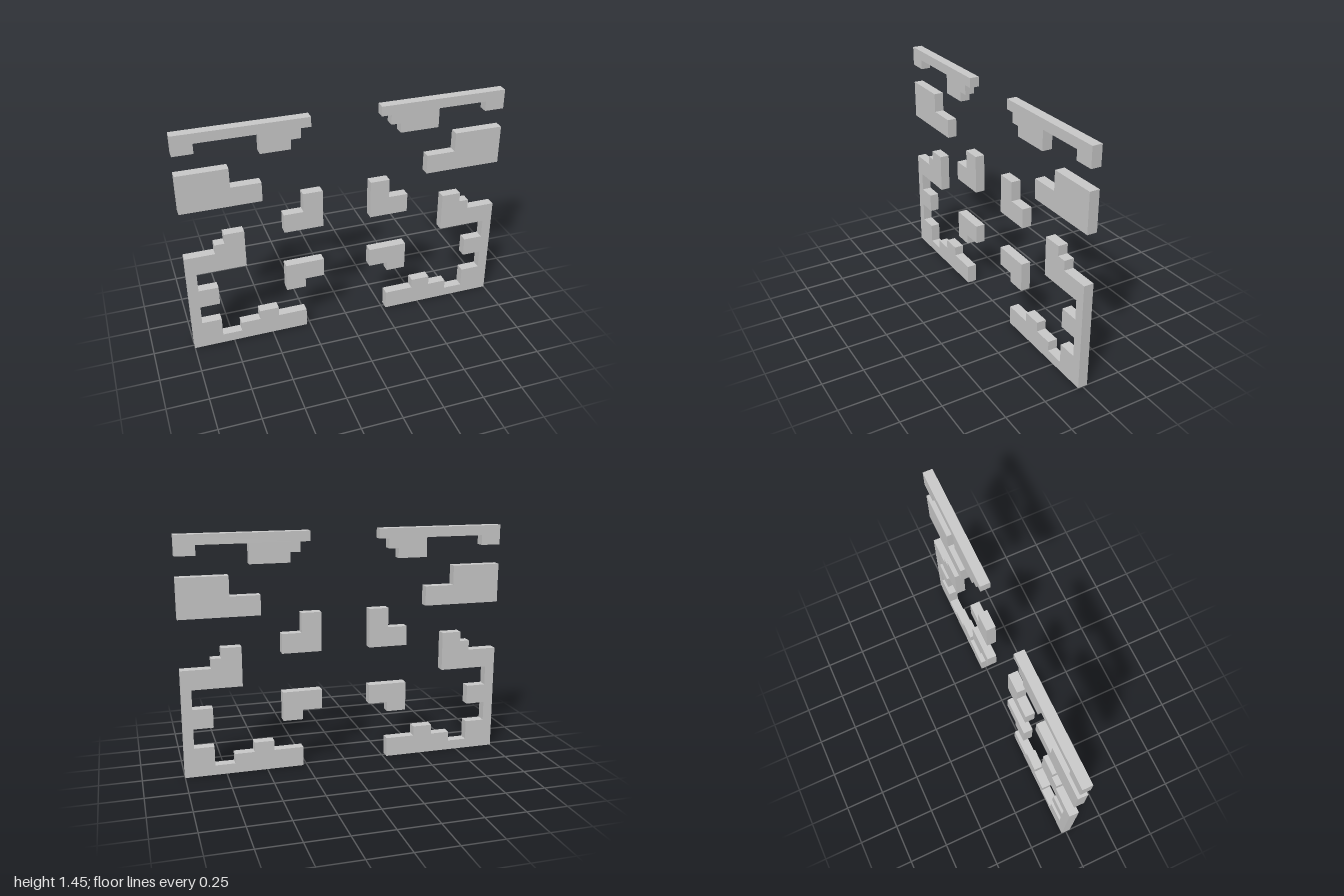
import * as THREE from 'three';

// The outlines lie on a square grid, 33 cells across.
const CELL = 2 / 33;
const material = new THREE.MeshStandardMaterial({ color: 0xcccccc, flatShading: true });

// Flat plate, one cell thick; side -1 mirrors the outline to -x.
function plate(name, outline, side) {
  const shape = new THREE.Shape(outline.map(([x, y]) => new THREE.Vector2(side * x * CELL, y * CELL)));
  const geometry = new THREE.ExtrudeGeometry(shape, { depth: CELL, bevelEnabled: false });
  geometry.translate(0, 0, -CELL / 2);
  const mesh = new THREE.Mesh(geometry, material);
  mesh.name = name;
  return mesh;
}

// Top bar with an outer tab and a stepped bump; the bump's outer edge differs per side.
const topBar = (bumpEdge) => [
  [3.5, 24], [3.5, 23], [4.5, 23], [4.5, 22], [5.5, 22], [5.5, 21],
  [bumpEdge, 21], [bumpEdge, 23], [14.5, 23], [14.5, 22], [16.5, 22], [16.5, 24],
];

const upperBlock = [[8.5, 16], [16.5, 16], [16.5, 20], [11.5, 20], [11.5, 18], [8.5, 18]];

const upperCorner = [[2.5, 12], [6.5, 12], [6.5, 14], [4.5, 14], [4.5, 16], [2.5, 16]];

const lowerCorner = [[2.5, 6], [4.5, 6], [4.5, 5], [6.5, 5], [6.5, 8], [2.5, 8]];

// Side post with its stepped arm, middle tab and stepped foot.
const sideFrame = [
  [4.5, 0], [16.5, 0], [16.5, 11], [13.5, 11], [13.5, 12], [12.5, 12], [12.5, 13], [10.5, 13],
  [10.5, 9], [15.5, 9], [15.5, 7], [13.5, 7], [13.5, 5], [15.5, 5], [15.5, 3], [13.5, 3],
  [13.5, 1], [11.5, 1], [11.5, 2], [9.5, 2], [9.5, 3], [7.5, 3], [7.5, 2], [4.5, 2],
];

export function createModel() {
  const model = new THREE.Group();
  model.name = 'steppedPanel';
  for (const [prefix, side, bumpEdge] of [['left', 1, 9.5], ['right', -1, 8.5]]) {
    model.add(
      plate(prefix + 'TopBar', topBar(bumpEdge), side),
      plate(prefix + 'UpperBlock', upperBlock, side),
      plate(prefix + 'UpperCorner', upperCorner, side),
      plate(prefix + 'LowerCorner', lowerCorner, side),
      plate(prefix + 'SideFrame', sideFrame, side),
    );
  }
  return model;
}
